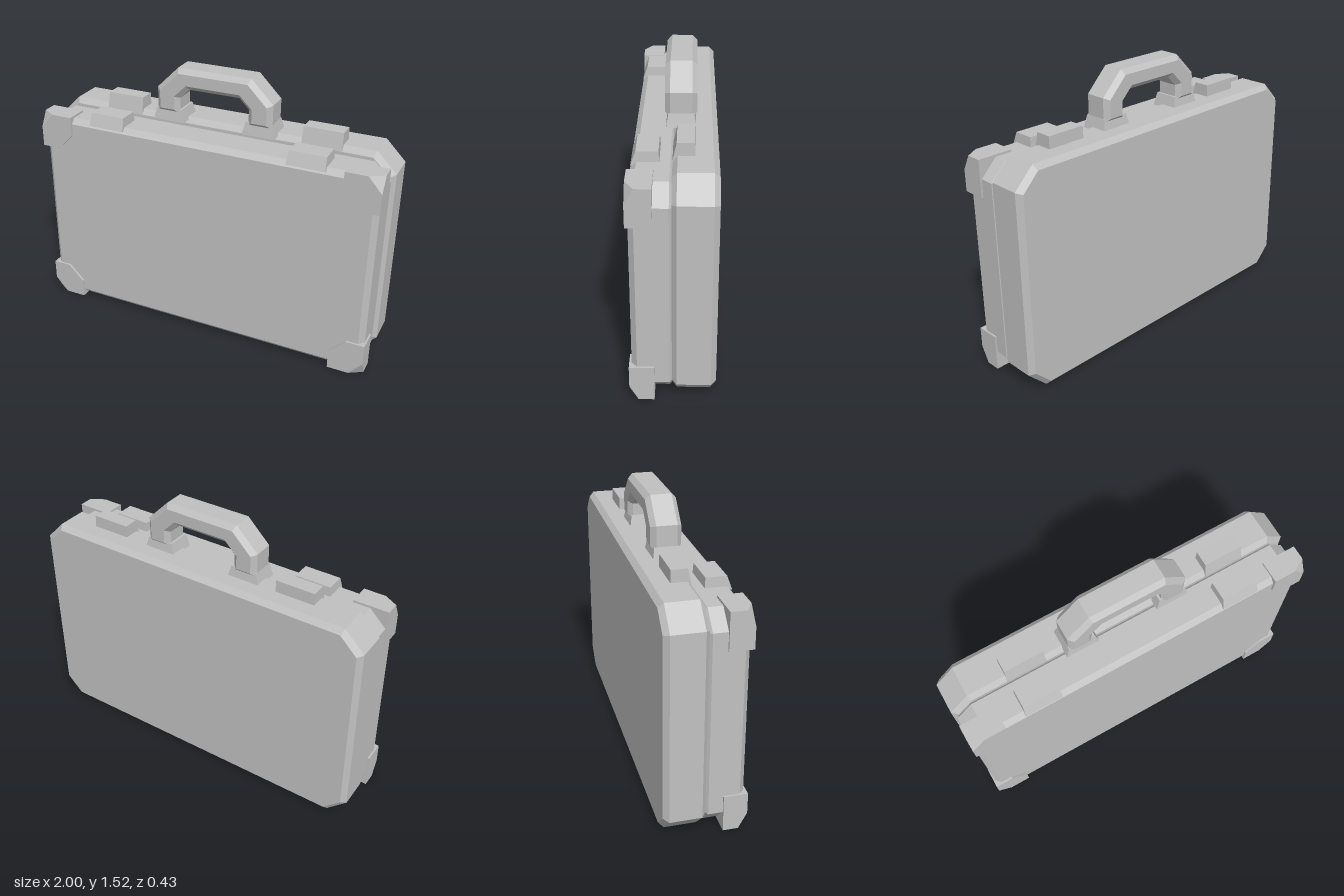
import * as THREE from 'three';
import { ConvexGeometry } from 'three/addons/geometries/ConvexGeometry.js';

const grey = new THREE.MeshStandardMaterial({ color: 0xc0c0c0 });
grey.name = 'plain grey';
grey.flatShading = true;

// Slightly crooked, hand-made lean: top drifts to +x and rises towards +x.
function makePart(name, geometry) {
  const geo = geometry.index ? geometry.toNonIndexed() : geometry;
  const p = geo.attributes.position;
  for (let i = 0; i < p.count; i++) {
    const x = p.getX(i), y = p.getY(i);
    p.setXY(i, x + 0.01 * (y - 0.6), y * (1 + 0.005 * x));
  }
  geo.computeVertexNormals();
  const mesh = new THREE.Mesh(geo, grey);
  mesh.name = name;
  return mesh;
}

const hull = (points) => new ConvexGeometry(points.map((q) => new THREE.Vector3(...q)));

// Octagonal case half; rings are [z, inset] pairs from back to front.
function shell(halfWidth, bottom, top, chamfer, rings) {
  const points = [];
  for (const [z, inset] of rings) {
    const w = halfWidth - inset, c = chamfer - inset * 0.586;
    for (const s of [-1, 1]) {
      points.push([s * w, bottom + inset + c, z], [s * (w - c), bottom + inset, z],
        [s * w, top - inset - c, z], [s * (w - c), top - inset, z]);
    }
  }
  return hull(points);
}

// Corner guard with a clipped inner edge and a cut-off outer tip.
function cornerGuard(side, outerY, up) {
  const back = 0.09, front = 0.215, points = [];
  const add = (x, y, z) => points.push([side * x, outerY + up * y, z]);
  for (const z of [back, front]) {
    add(0.79, 0, z);
    add(0.79, 0.11, z);
    add(0.88, 0.2, z);
    add(0.985, 0.2, z);
  }
  add(0.985, 0, back);
  add(0.91, 0, front);
  add(0.985, 0.085, front);
  add(0.985, 0, 0.17);
  return hull(points);
}

// Box whose top is narrower than its foot.
function taperedBlock(x, halfFoot, halfTop, y0, y1, foot, top) {
  const points = [];
  for (const s of [-1, 1]) {
    for (const z of foot) points.push([x + s * halfFoot, y0, z]);
    for (const z of top) points.push([x + s * halfTop, y1, z]);
  }
  return hull(points);
}

// Angular arch with bevelled edges.
function handleGeometry() {
  const shape = new THREE.Shape([
    [-0.335, 1.26], [-0.2, 1.26], [-0.2, 1.35], [-0.145, 1.405],
    [0.145, 1.405], [0.2, 1.35], [0.2, 1.26], [0.335, 1.26],
    [0.335, 1.395], [0.21, 1.52], [-0.21, 1.52], [-0.335, 1.395],
  ].map(([x, y]) => new THREE.Vector2(x, y)));
  const geo = new THREE.ExtrudeGeometry(shape, {
    depth: 0.11, bevelEnabled: true, bevelSegments: 1,
    bevelThickness: 0.026, bevelSize: 0.026, bevelOffset: -0.026,
  });
  return geo.translate(0, 0, -0.085);
}

export function createModel() {
  const group = new THREE.Group();
  group.name = 'briefcase';

  // Case halves
  group.add(makePart('backShell', shell(0.993, 0, 1.23, 0.11,
    [[-0.215, 0.027], [-0.188, 0], [-0.02, 0], [0.004, 0.03]])));
  group.add(makePart('frontShell', shell(0.975, 0.02, 1.188, 0.09,
    [[0, 0.016], [0.015, 0], [0.175, 0], [0.203, 0.03]])));

  for (const side of [-1, 1]) {
    const label = side > 0 ? 'left' : 'right';

    // Corner guards
    group.add(makePart(label + 'TopCorner', cornerGuard(side, 1.2, -1)));
    group.add(makePart(label + 'BottomCorner', cornerGuard(side, 0.006, 1)));

    // Latch pair: lower half on the front shell, upper half on the back shell
    group.add(makePart(label + 'LatchFront', taperedBlock(side * 0.578 + 0.008,
      0.105, 0.1, 1.17, 1.24, [0.065, 0.203], [0.07, 0.178])));
    group.add(makePart(label + 'LatchBack', taperedBlock(side * 0.58 + 0.018,
      0.11, 0.108, 1.2, 1.295, [-0.103, 0.005], [-0.1, -0.015])));

    // Handle foot
    group.add(makePart(label + 'HandleFoot', taperedBlock(side * 0.262,
      0.092, 0.074, 1.215, 1.285, [-0.108, 0.045], [-0.096, 0.034])));
  }

  group.add(makePart('handle', handleGeometry()));
  return group;
}
